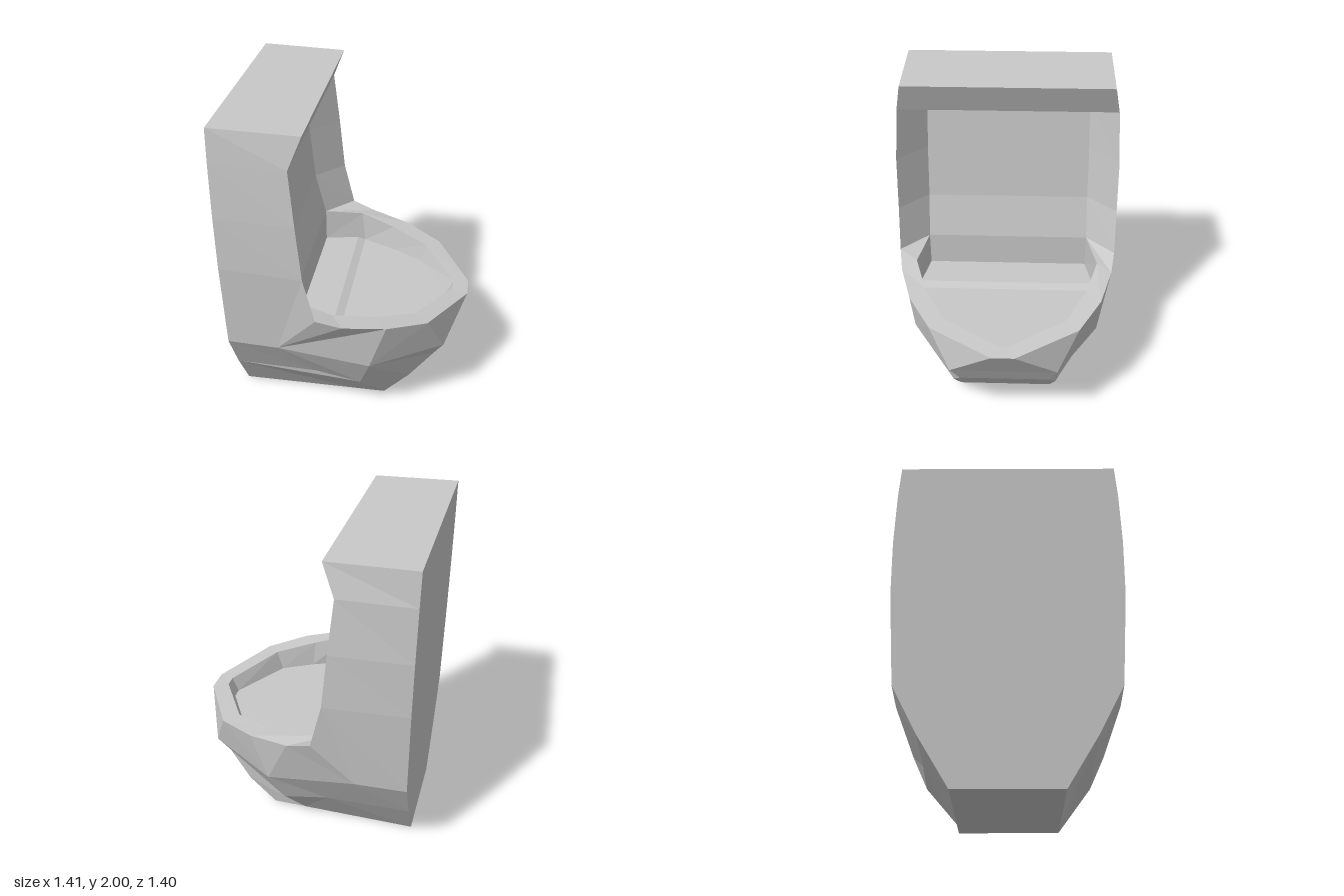
import * as THREE from 'three';

// All points lie on the +z half; every face is mirrored to the other half.
const backTop = [-0.71, 2, 0.64];
const back = [backTop, [-0.71, 1.8, 0.655], [-0.71, 1.47, 0.665], [-0.71, 1.13, 0.66], [-0.71, 0.57, 0.62]];
const backLow = [-0.71, 0.29, 0.475];
const footBack = [-0.71, 0, 0.3], footMid = [0, 0, 0.3], footFront = [0.21, 0, 0.3];

// Front edge of the side walls, and the recessed panel edge behind it
const edge = [[-0.2, 1.985, 0.635], [-0.275, 1.8, 0.672], [-0.245, 1.47, 0.695], [-0.215, 1.13, 0.7], [-0.15, 0.85, 0.7]];
const recess = [[-0.44, 1.76, 0.505], [-0.415, 1.47, 0.515], [-0.385, 1.13, 0.52], [-0.32, 0.85, 0.525]];

// Bowl rim, outside and inside, and the basin floor outline
const rimOut = [edge[4], [0, 0.8, 0.675], [0.25, 0.765, 0.598], [0.48, 0.725, 0.455], [0.7, 0.69, 0.07]];
const rimIn = [recess[3], [-0.07, 0.82, 0.585], [0.16, 0.775, 0.51], [0.4, 0.735, 0.38], [0.605, 0.7, 0.037]];
const floor = [[-0.32, 0.63, 0.525], [-0.1, 0.63, 0.57], [-0.05, 0.61, 0.578], [0.17, 0.61, 0.48], [0.36, 0.61, 0.375], [0.565, 0.61, 0.032]];

// Faceted underside of the bowl
const hip = [-0.4, 0.57, 0.635], cheek = [0.15, 0.46, 0.59], jaw = [0.58, 0.47, 0.33];
const hipLow = [-0.2, 0.29, 0.49], cheekLow = [0.08, 0.235, 0.49];
const chin = [0.52, 0.35, 0.275], chinLow = [0.37, 0.19, 0.33];

const mirror = ([x, y, z]) => [x, y, -z];

// Fan triangles for a polygon
function fan(out, poly) {
  for (let i = 1; i < poly.length - 1; i++) out.push(...poly[0], ...poly[i], ...poly[i + 1]);
}

// sides: polygons mirrored in z; chain: profile whose edges span from +z to -z
function part(name, material, sides, ...chains) {
  const pos = [];
  for (const poly of sides) {
    fan(pos, poly);
    fan(pos, poly.map(mirror).reverse());
  }
  for (const chain of chains) {
    for (let i = 0; i < chain.length - 1; i++) {
      const p = chain[i], q = chain[i + 1];
      fan(pos, [p, q, mirror(q), mirror(p)]);
    }
  }
  const geometry = new THREE.BufferGeometry();
  geometry.setAttribute('position', new THREE.Float32BufferAttribute(pos, 3));
  geometry.computeVertexNormals(); // unshared corners give flat facets
  const mesh = new THREE.Mesh(geometry, material);
  mesh.name = name;
  return mesh;
}

// Quads between two matching rows of points
const band = (a, b) => a.slice(1).map((_, i) => [a[i], a[i + 1], b[i + 1], b[i]]);

export function createModel() {
  const group = new THREE.Group();
  group.name = 'urinal';
  const ceramic = new THREE.MeshStandardMaterial({ color: 0xc8c8c8 });
  ceramic.name = 'grey ceramic';

  group.add(
    // Side walls, with the flat back
    part('sideWallsAndBack', ceramic,
      [...band(back, [...edge.slice(0, 4), hip]), [edge[3], hip, edge[4]]],
      [footBack, backLow, ...back.slice().reverse()]),

    // Top slab with sloping lip and underside
    part('topLip', ceramic, [], [backTop, edge[0], edge[1], recess[0]]),

    // Sloping jambs and the panel between them
    part('recess', ceramic, band(edge.slice(1), recess), [...recess, floor[0]]),

    // Flat rim around the basin
    part('rim', ceramic, band(rimOut, rimIn), [rimIn[4], rimOut[4]]),

    // Basin wall and floor
    part('basin', ceramic,
      [[rimIn[0], rimIn[1], floor[2], floor[1], floor[0]], ...band(rimIn.slice(1), floor.slice(2))],
      [...floor, rimIn[4]]),

    // Outer bowl facets, nose and foot
    part('outerBowl', ceramic, [
      [hip, rimOut[1], rimOut[0]],
      [hip, cheek, rimOut[2], rimOut[1]],
      [cheek, rimOut[3], rimOut[2]],
      [cheek, jaw, rimOut[3]],
      [jaw, rimOut[4], rimOut[3]],
      [cheek, chin, jaw],
      [cheek, cheekLow, chinLow, chin],
      [hip, hipLow, cheekLow, cheek],
      [back[4], backLow, hipLow, hip],
      [backLow, footBack, footMid, cheekLow, hipLow],
      [cheekLow, footMid, footFront, chinLow],
    ], [rimOut[4], jaw, chin, chinLow, footFront, footBack]),
  );
  return group;
}
